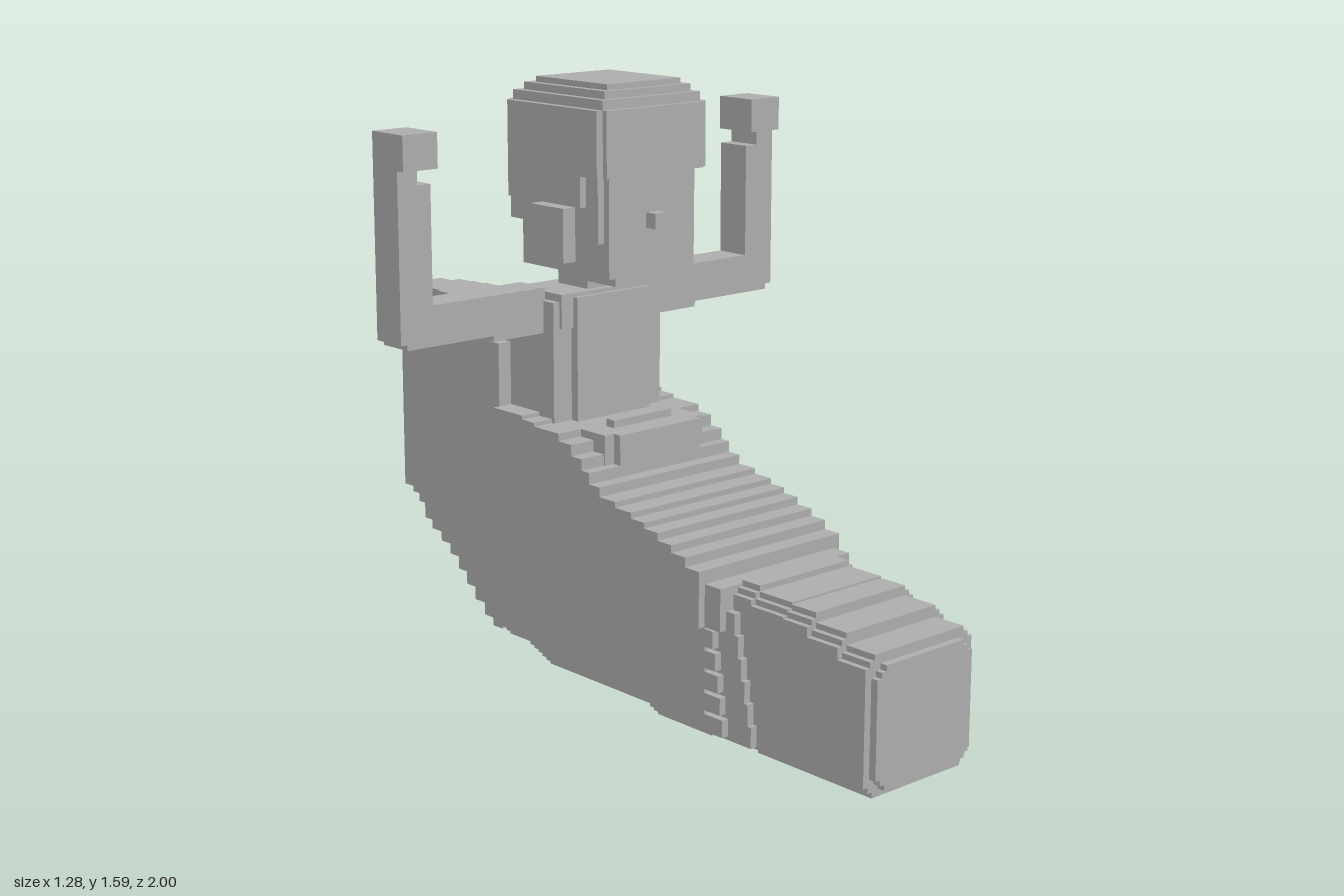
import * as THREE from 'three';

export function createModel() {
  const model = new THREE.Group();
  const grey = new THREE.MeshStandardMaterial({ color: 0xb0b0b0 });
  grey.name = 'stone grey';

  // Block given by its limits on each axis
  function block(name, x0, x1, y0, y1, z0, z1, parent = model) {
    const mesh = new THREE.Mesh(new THREE.BoxGeometry(x1 - x0, y1 - y0, z1 - z0), grey);
    mesh.position.set((x0 + x1) / 2, (y0 + y1) / 2, (z0 + z1) / 2);
    mesh.name = name;
    parent.add(mesh);
  }

  // Slice along z with stepped corners: b at the bottom, t at the top
  function slice(name, w, y0, y1, z0, z1, b, t, parent) {
    const half = [[w - 2 * b, y0], [w - 2 * b, y0 + b], [w - b, y0 + b], [w - b, y0 + 2 * b], [w, y0 + 2 * b],
      [w, y1 - 2 * t], [w - t, y1 - 2 * t], [w - t, y1 - t], [w - 2 * t, y1 - t], [w - 2 * t, y1]];
    const pts = [...half, ...half.slice().reverse().map(([x, y]) => [-x, y])];
    const shape = new THREE.Shape(pts.map(([x, y]) => new THREE.Vector2(x, y)));
    const geo = new THREE.ExtrudeGeometry(shape, { depth: z1 - z0, bevelEnabled: false });
    geo.translate(0, 0, z0);
    const mesh = new THREE.Mesh(geo, grey);
    mesh.name = name;
    parent.add(mesh);
  }

  const group = (name) => {
    const g = new THREE.Group();
    g.name = name;
    model.add(g);
    return g;
  };

  // Foot end: rows of z start, z end, half width, bottom, top
  const foot = group('footEnd');
  [[0.97, 1, 0.165, 0.02, 0.33], [0.89, 0.98, 0.185, 0, 0.355], [0.79, 0.89, 0.185, 0, 0.385],
    [0.71, 0.79, 0.185, 0, 0.41], [0.6, 0.71, 0.185, 0, 0.415], [0.54, 0.6, 0.185, 0.02, 0.43]]
    .forEach(([a, b, w, y0, y1]) => slice('footSlice', w, y0, y1, a, b, 0.015, 0.015, foot));

  // Slanted cuff where the legs widen
  const cuff = group('cuff');
  for (let i = 0; i < 6; i++) {
    const y = 0.03 + i * 0.055;
    block('cuffOuter', -0.205, 0.205, y, y + 0.055, 0.46, 0.625 - i * 0.012, cuff);
    block('cuffInner', -0.225, 0.225, y + 0.01, y + 0.055, 0.46, 0.545 - i * 0.009, cuff);
  }
  block('cuffTop', -0.225, 0.225, 0.31, 0.42, 0.46, 0.535, cuff);

  // Middle: narrower body below, wider cover above with a stepped lower edge
  // z start, z end, top, cover edge
  const middle = group('coveredLegs');
  const bottomAt = (z) => z > 0.26 ? 0.02 : z > -0.14 ? 0.04 : z > -0.22 ? 0.06 : 0.08;
  [[0.43, 0.48, 0.455, 0.31], [0.38, 0.43, 0.48, 0.315], [0.33, 0.38, 0.5, 0.325],
    [0.28, 0.33, 0.52, 0.33], [0.23, 0.28, 0.535, 0.345], [0.17, 0.23, 0.55, 0.37],
    [0.11, 0.17, 0.565, 0.395], [0.07, 0.11, 0.59, 0.42], [0.04, 0.07, 0.62, 0.435],
    [0, 0.04, 0.65, 0.455], [-0.05, 0, 0.68, 0.48], [-0.1, -0.05, 0.7, 0.505],
    [-0.15, -0.1, 0.7, 0.53], [-0.2, -0.15, 0.71, 0.56], [-0.25, -0.2, 0.72, 0.58], [-0.32, -0.25, 0.72, 0.6]]
    .forEach(([a, b, top, edge]) => {
      slice('legSlice', 0.225, bottomAt((a + b) / 2), edge + 0.02, a, b, 0.014, 0, middle);
      block('coverSlice', -0.245, 0.245, edge, top, a, b, middle);
    });

  // Raised rim in front of the waist
  block('rim', -0.14, 0.14, 0.56, 0.7, -0.13, 0.07);
  block('rimTop', -0.17, 0.17, 0.56, 0.7, -0.13, 0.045);
  block('rimLip', -0.1, 0.1, 0.68, 0.72, -0.03, 0.0);

  // Tall back fin narrowing to the rear: z start, z end, half width, bottom, shoulder, top
  const fin = group('backFin');
  [[-0.36, -0.32, 0.235, 0.1, 0.89, 0.99], [-0.4, -0.36, 0.222, 0.12, 0.89, 0.985],
    [-0.45, -0.4, 0.215, 0.15, 0.89, 0.98], [-0.5, -0.45, 0.205, 0.18, 0.89, 0.97],
    [-0.55, -0.5, 0.195, 0.21, 0.88, 0.955], [-0.6, -0.55, 0.185, 0.24, 0.88, 0.95],
    [-0.65, -0.6, 0.178, 0.265, 0.87, 0.95], [-0.71, -0.65, 0.165, 0.285, 0.87, 0.95],
    [-0.77, -0.71, 0.145, 0.3, 0.88, 0.95], [-0.82, -0.77, 0.128, 0.335, 0.89, 0.95],
    [-0.87, -0.82, 0.112, 0.35, 0.9, 0.95], [-0.94, -0.87, 0.09, 0.355, 0.9, 0.945],
    [-0.965, -0.94, 0.06, 0.36, 0.9, 0.93], [-0.985, -0.965, 0.04, 0.375, 0.9, 0.91],
    [-1, -0.985, 0.02, 0.38, 0.9, 0.905]]
    .forEach(([a, b, w, y0, ys, y1]) => {
      const wide = Math.min(w, 0.225);
      block('finSlice', -wide, wide, y0, ys, a, b, fin);
      block('finShoulder', -wide * 0.82, wide * 0.82, ys - 0.02, (ys + y1) / 2, a, b, fin);
      block('finRidge', -wide * 0.6, wide * 0.6, ys - 0.02, y1, a, b, fin);
    });

  // Torso and neck
  block('torso', -0.185, 0.185, 0.55, 1.02, -0.32, -0.14);
  block('chest', -0.125, 0.125, 0.55, 1.03, -0.3, -0.115);
  block('shoulders', -0.165, 0.165, 0.95, 1.04, -0.31, -0.13);
  block('neck', -0.06, 0.06, 1.0, 1.12, -0.27, -0.15);

  // Head: face, hair and stepped crown
  block('jaw', -0.125, 0.125, 1.08, 1.2, -0.14, 0.035);
  block('face', -0.145, 0.145, 1.1, 1.38, -0.2, 0.035);
  block('cheeks', -0.165, 0.165, 1.19, 1.38, -0.2, 0.015);
  block('nose', -0.02, 0.02, 1.22, 1.26, 0.03, 0.07);
  block('nape', -0.145, 0.145, 1.1, 1.24, -0.31, -0.18);
  block('backHair', -0.165, 0.165, 1.22, 1.4, -0.335, -0.18);
  block('sideHair', -0.185, 0.185, 1.28, 1.4, -0.32, -0.03);
  block('fringe', -0.185, 0.185, 1.36, 1.53, -0.32, 0.035);
  block('fringeFront', -0.165, 0.165, 1.36, 1.53, -0.335, 0.05);
  block('crownLower', -0.165, 0.165, 1.52, 1.555, -0.32, 0.035);
  block('crownMiddle', -0.145, 0.145, 1.55, 1.575, -0.3, 0.02);
  block('crownTop', -0.125, 0.125, 1.57, 1.59, -0.275, 0.005);

  // Ears and raised arms, mirrored
  for (const s of [-1, 1]) {
    const side = (name, x0, x1, ...rest) =>
      block(name, Math.min(s * x0, s * x1), Math.max(s * x0, s * x1), ...rest);
    side('ear', 0.185, 0.225, 1.14, 1.28, -0.18, -0.05);
    side('sleeve', 0.18, 0.35, 0.935, 1.055, -0.28, -0.18);
    side('upperArm', 0.34, 0.62, 0.95, 1.055, -0.28, -0.18);
    side('forearm', 0.54, 0.64, 0.965, 1.36, -0.28, -0.18);
    side('wrist', 0.58, 0.64, 1.35, 1.41, -0.28, -0.18);
    side('hand', 0.535, 0.64, 1.4, 1.49, -0.28, -0.155);
  }
  return model;
}
